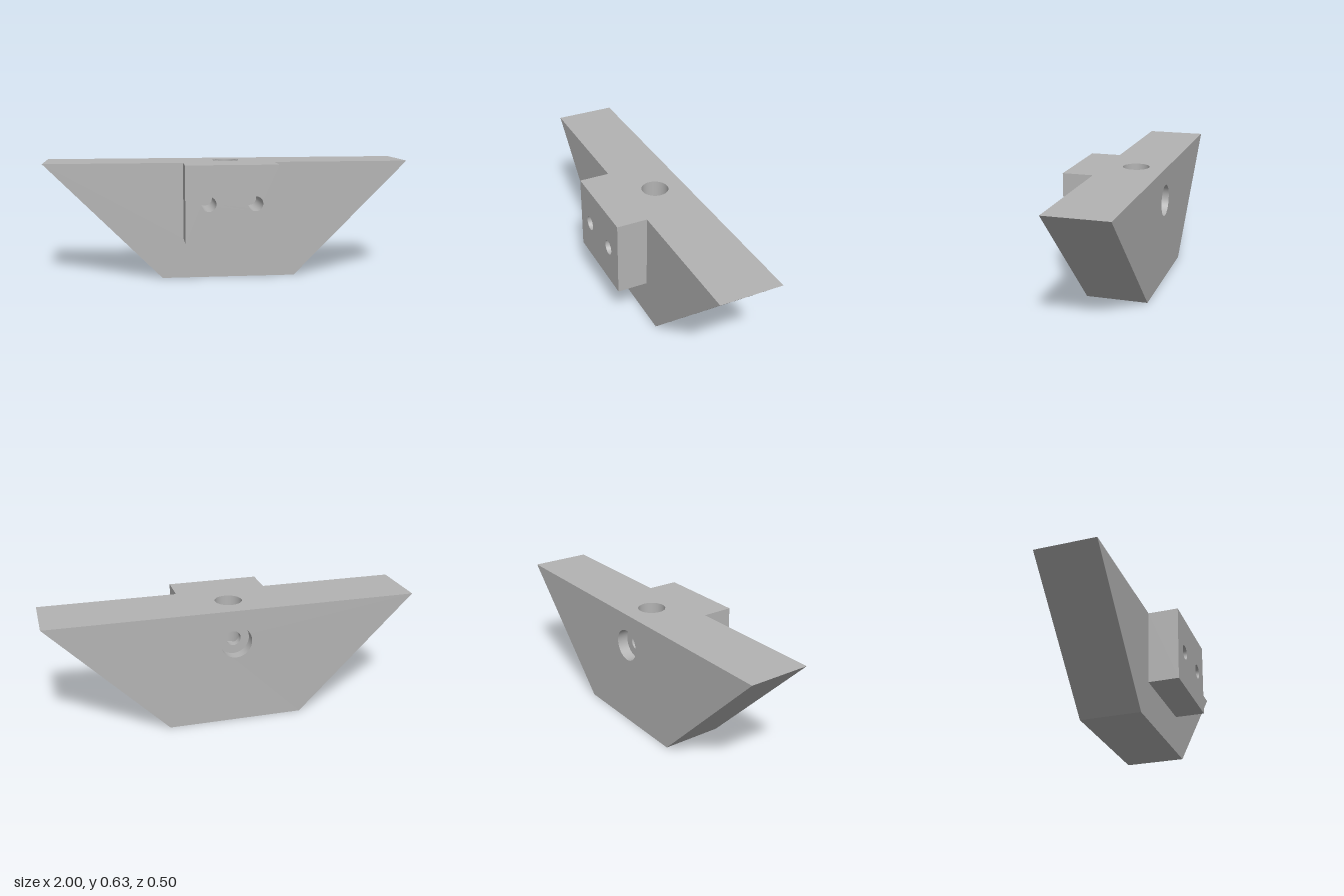
import * as THREE from 'three';

const H = 0.635, FOOT = 0.367;               // height, half width of the base
const BACK = -0.25, MID = 0.083, FRONT = 0.25; // depth planes
const HALF = 0.25, LOW = 0.218;              // boss half width, underside
const PIN = { z: -0.085, r: 0.073, depth: 0.27 };
const BORE = { y: 0.457, r: 0.086, depth: 0.06, inner: 0.04 };
const SCREW = { x: 0.125, y: 0.428, r: 0.04, depth: 0.25 };

export function createModel() {
  const group = new THREE.Group();
  const grey = new THREE.MeshStandardMaterial({ color: 0xb3b3b3 });

  const add = (name, geometry) => {
    const mesh = new THREE.Mesh(geometry, grey);
    mesh.name = name;
    group.add(mesh);
    return mesh;
  };

  // Flat face with round openings given as [x, y, radius]
  const face = (name, points, holes = []) => {
    const shape = new THREE.Shape(points.map(([x, y]) => new THREE.Vector2(x, y)));
    for (const [x, y, r] of holes) {
      shape.holes.push(new THREE.Path().absarc(x, y, r, 0, Math.PI * 2, true));
    }
    return add(name, new THREE.ShapeGeometry(shape, 24));
  };

  // Side walls swept along z under an open outline
  const walls = (name, points, z0, z1) => {
    const pos = [];
    for (let i = 0; i < points.length - 1; i++) {
      const p = points[i], q = points[i + 1];
      const a = [...p, z0], b = [...q, z0], c = [...q, z1], d = [...p, z1];
      pos.push(...a, ...b, ...c, ...a, ...c, ...d);
    }
    const g = new THREE.BufferGeometry();
    g.setAttribute('position', new THREE.Float32BufferAttribute(pos, 3));
    g.computeVertexNormals();
    return add(name, g);
  };

  // Inside of a drilled hole going down from y = 0; repeated points keep corners sharp
  const hole = (name, profile) =>
    add(name, new THREE.LatheGeometry(profile.map(([r, y]) => new THREE.Vector2(r, y)), 48));
  const blind = (r, d) => [[r, 0], [r, -d], [r, -d], [0, -d]];

  // Tapered body
  const outline = [[-1, H], [-FOOT, 0], [FOOT, 0], [1, H]];
  walls('bodySides', outline, BACK, MID);
  const back = face('bodyBack', outline, [[0, BORE.y, BORE.r]]);
  back.rotation.y = Math.PI;
  back.position.z = BACK;
  face('bodyFront', [
    [-1, H], [-FOOT, 0], [FOOT, 0], [1, H],
    [HALF, H], [HALF, LOW], [-HALF, LOW], [-HALF, H],
  ]).position.z = MID;

  // Front boss
  const boss = [[-HALF, H], [-HALF, LOW], [HALF, LOW], [HALF, H]];
  walls('bossSides', boss, MID, FRONT);
  face('bossFront', boss, [-1, 1].map(s => [s * SCREW.x, SCREW.y, SCREW.r])).position.z = FRONT;

  // T-shaped top
  const top = face('top', [
    [-1, -MID], [-HALF, -MID], [-HALF, -FRONT], [HALF, -FRONT],
    [HALF, -MID], [1, -MID], [1, -BACK], [-1, -BACK],
  ], [[0, -PIN.z, PIN.r]]);
  top.rotation.x = -Math.PI / 2;
  top.position.y = H;

  // Vertical pin hole
  hole('pinHole', blind(PIN.r, PIN.depth)).position.set(0, H, PIN.z);

  // Screw holes in the boss
  for (const s of [-1, 1]) {
    const screw = hole('screwHole', blind(SCREW.r, SCREW.depth));
    screw.rotation.x = Math.PI / 2;
    screw.position.set(s * SCREW.x, SCREW.y, FRONT);
  }

  // Counterbore in the back, its narrow part opening into the pin hole
  const { r, inner, depth } = BORE;
  const reach = PIN.z - PIN.r - BACK + 0.006;
  const bore = hole('counterbore', [
    [r, 0], [r, -depth], [r, -depth], [inner, -depth], [inner, -depth], [inner, -reach],
  ]);
  bore.rotation.x = -Math.PI / 2;
  bore.position.set(0, BORE.y, BACK);

  return group;
}
